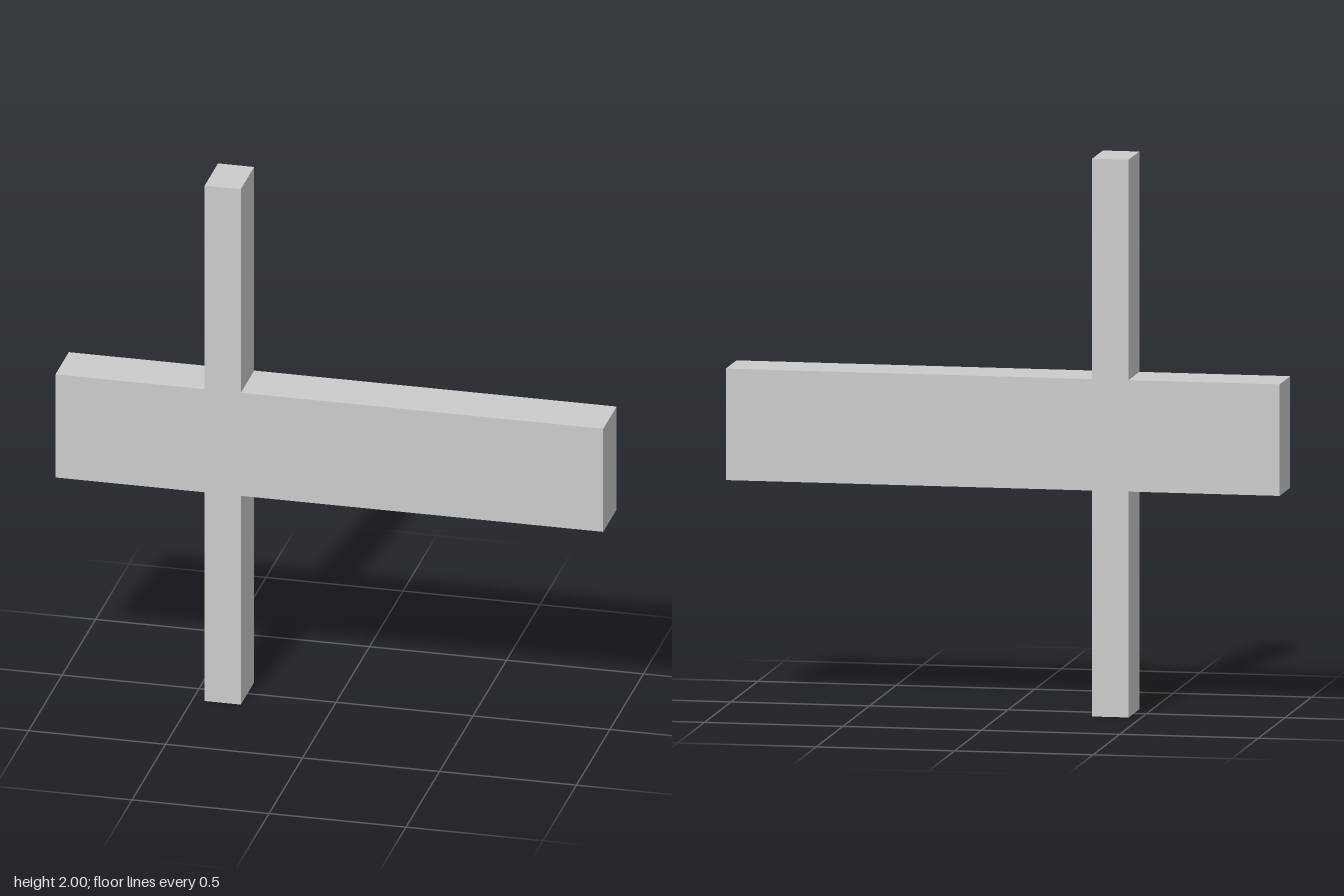
import * as THREE from 'three';

export function createModel() {
  const group = new THREE.Group();
  group.name = 'crossedBeams';
  const material = new THREE.MeshStandardMaterial({ color: 0xcccccc, flatShading: true });

  const depth = 0.2;
  const post = { left: -0.455, right: -0.323 };
  const beam = { bottom: 0.81, top: 1.21 };

  // One cross outline, so post and beam share flush front and back faces
  const outline = new THREE.Shape([
    [post.left, 0], [post.right, 0],
    [post.right, beam.bottom], [1, beam.bottom],
    [1, beam.top], [post.right, beam.top],
    [post.right, 2], [post.left, 2],
    [post.left, beam.top], [-1, beam.top],
    [-1, beam.bottom], [post.left, beam.bottom],
  ].map(([x, y]) => new THREE.Vector2(x, y)));

  const geometry = new THREE.ExtrudeGeometry(outline, { depth, bevelEnabled: false });
  geometry.translate(0, 0, -depth / 2);

  const cross = new THREE.Mesh(geometry, material);
  cross.name = 'postAndCrossbeam';
  group.add(cross);
  return group;
}
